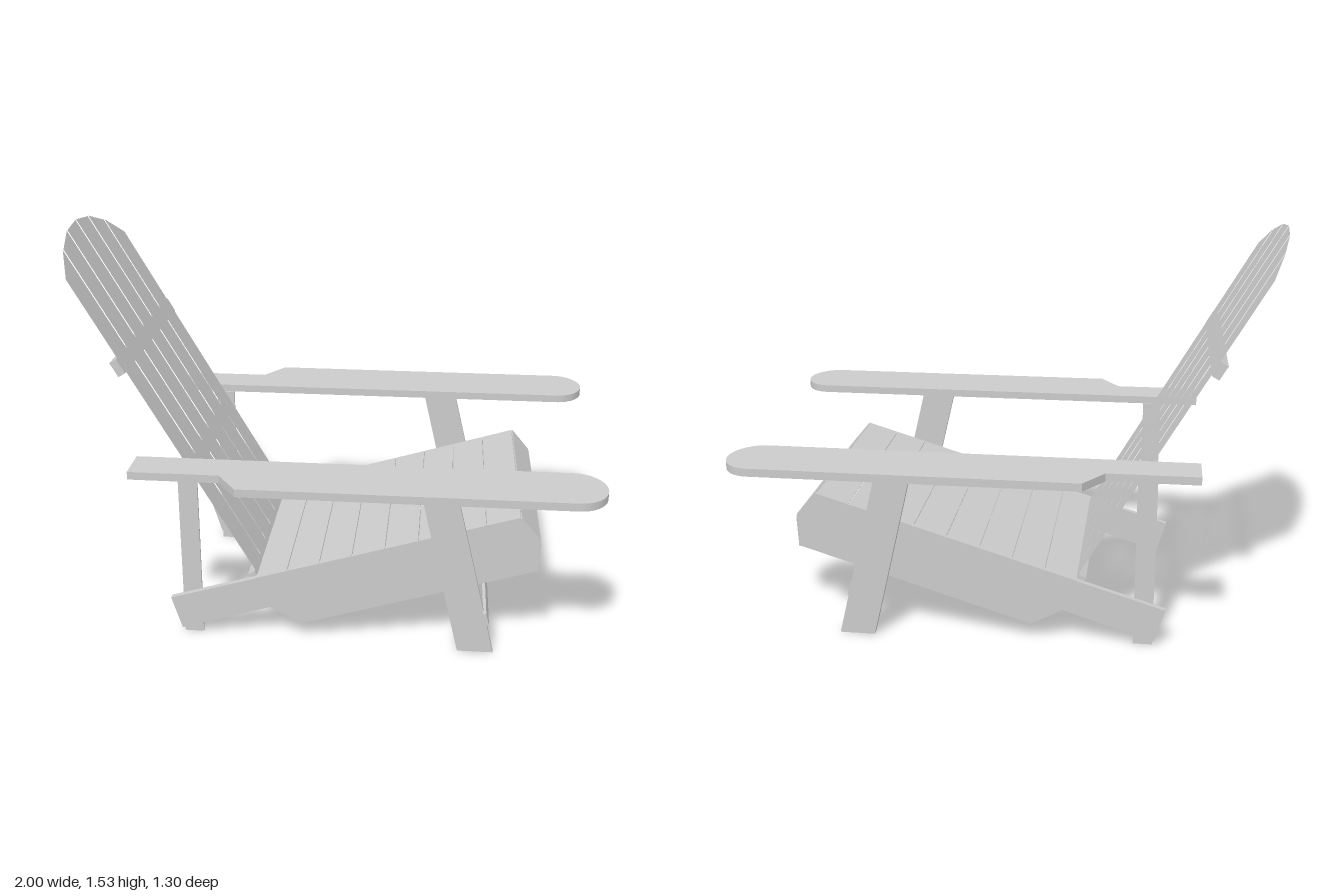
import * as THREE from 'three';

const wood = new THREE.MeshStandardMaterial({ color: 0xcccccc, side: THREE.DoubleSide });

function add(parent, geometry, name) {
  const mesh = new THREE.Mesh(geometry, wood);
  mesh.name = name;
  parent.add(mesh);
  return mesh;
}

const polygon = (pts) => new THREE.Shape(pts.map(([x, y]) => new THREE.Vector2(x, y)));
const extrude = (shape, depth) =>
  new THREE.ExtrudeGeometry(shape, { depth, bevelEnabled: false, curveSegments: 16 });

// Side-profile plate of the given thickness, centred on z
function plate(parent, pts, z, thickness, name) {
  add(parent, extrude(polygon(pts), thickness), name).position.z = z - thickness / 2;
}

// Board running across the chair, its section following a segment in the xy plane
function board(parent, [x1, y1], [x2, y2], thickness, z1, z2, name) {
  const length = Math.hypot(x2 - x1, y2 - y1);
  const mesh = add(parent, new THREE.BoxGeometry(length, thickness, z2 - z1), name);
  mesh.position.set((x1 + x2) / 2, (y1 + y2) / 2, (z1 + z2) / 2);
  mesh.rotation.z = Math.atan2(y2 - y1, x2 - x1);
}

function buildSide(parent, side, label) {
  // Sloping rail that carries the seat and reaches the ground at the back
  plate(parent, [[-0.605, 0.155], [-0.565, 0.025], [-0.22, 0.135], [-0.1, 0.07],
    [0.785, 0.345], [0.79, 0.47], [0.715, 0.56]], side * 0.414, 0.023, label + 'SeatRail');
  // Legs: the raked front one outside the rail, the thin upright rear one inside
  plate(parent, [[0.335, 0.705], [0.5, 0], [0.635, 0], [0.467, 0.705]],
    side * 0.438, 0.022, label + 'FrontLeg');
  plate(parent, [[-0.56, 0], [-0.487, 0], [-0.487, 0.705], [-0.56, 0.705]],
    side * 0.398, 0.01, label + 'RearLeg');
  // Armrest with a rounded front end and a narrower tail
  const arm = new THREE.Shape();
  arm.moveTo(-0.71, side * 0.4);
  arm.lineTo(0.89, side * 0.4);
  arm.absellipse(0.89, side * 0.526, 0.11, 0.126, -side * Math.PI / 2, side * Math.PI / 2, side < 0);
  arm.lineTo(-0.3, side * 0.652);
  arm.lineTo(-0.375, side * 0.543);
  arm.lineTo(-0.71, side * 0.543);
  const mesh = add(parent, extrude(arm, 0.03), label + 'Armrest');
  mesh.rotation.x = Math.PI / 2;
  mesh.position.y = 0.735;
}

function buildSeat(parent) {
  const seat = new THREE.Group();
  seat.name = 'seat';
  const start = -0.275, end = 0.713, count = 8, gap = 0.003;
  const topY = (x) => 0.56 + (x - 0.715) * 0.3068;
  const step = (end - start) / count;
  for (let i = 0; i < count; i++) {
    const a = start + i * step + gap / 2, b = start + (i + 1) * step - gap / 2;
    board(seat, [a, topY(a)], [b, topY(b)], 0.004, -0.426, 0.426, 'seatSlat');
  }
  // Boards closing the front
  board(seat, [0.715, 0.56], [0.787, 0.474], 0.004, -0.426, 0.428, 'frontSlopedBoard');
  board(seat, [0.79, 0.464], [0.785, 0.343], 0.004, -0.426, 0.428, 'frontApron');
  parent.add(seat);
}

function buildBack(parent) {
  // Local x runs across the chair, y up the slats, z towards the rear
  const back = new THREE.Group();
  back.name = 'backrest';
  const up = new THREE.Vector3(-0.73, 1.27, 0).normalize();
  const across = new THREE.Vector3(0, 0, 1);
  const rear = new THREE.Vector3().crossVectors(across, up);
  back.quaternion.setFromRotationMatrix(new THREE.Matrix4().makeBasis(across, up, rear));
  back.position.set(-0.27, 0.26, 0);

  // Thin slats whose tops follow a shallow arch
  const pitch = 0.1315, gap = 0.009;
  const tops = [1.465, 1.45, 1.403, 1.315];
  for (const side of [-1, 1]) {
    for (let i = 0; i < 3; i++) {
      const a = side * (i * pitch + gap / 2), b = side * ((i + 1) * pitch - gap / 2);
      const slat = polygon([[a, 0], [b, 0], [b, tops[i + 1]], [a, tops[i]]]);
      add(back, new THREE.ShapeGeometry(slat), 'backSlat');
    }
  }
  // Cross bars behind the slats
  for (const y of [-0.012, 0.474, 0.954]) {
    add(back, new THREE.BoxGeometry(0.806, 0.06, 0.03), 'backCrossBar').position.set(0, y, 0.016);
  }
  parent.add(back);
}

export function createModel() {
  const chair = new THREE.Group();
  chair.name = 'gardenChair';
  buildSide(chair, 1, 'left');
  buildSide(chair, -1, 'right');
  buildSeat(chair);
  buildBack(chair);
  // Stretcher across the front legs, sticking out on one side
  board(chair, [0.609, 0.132], [0.597, 0.18], 0.012, -0.4, 0.473, 'frontStretcher');
  return chair;
}
